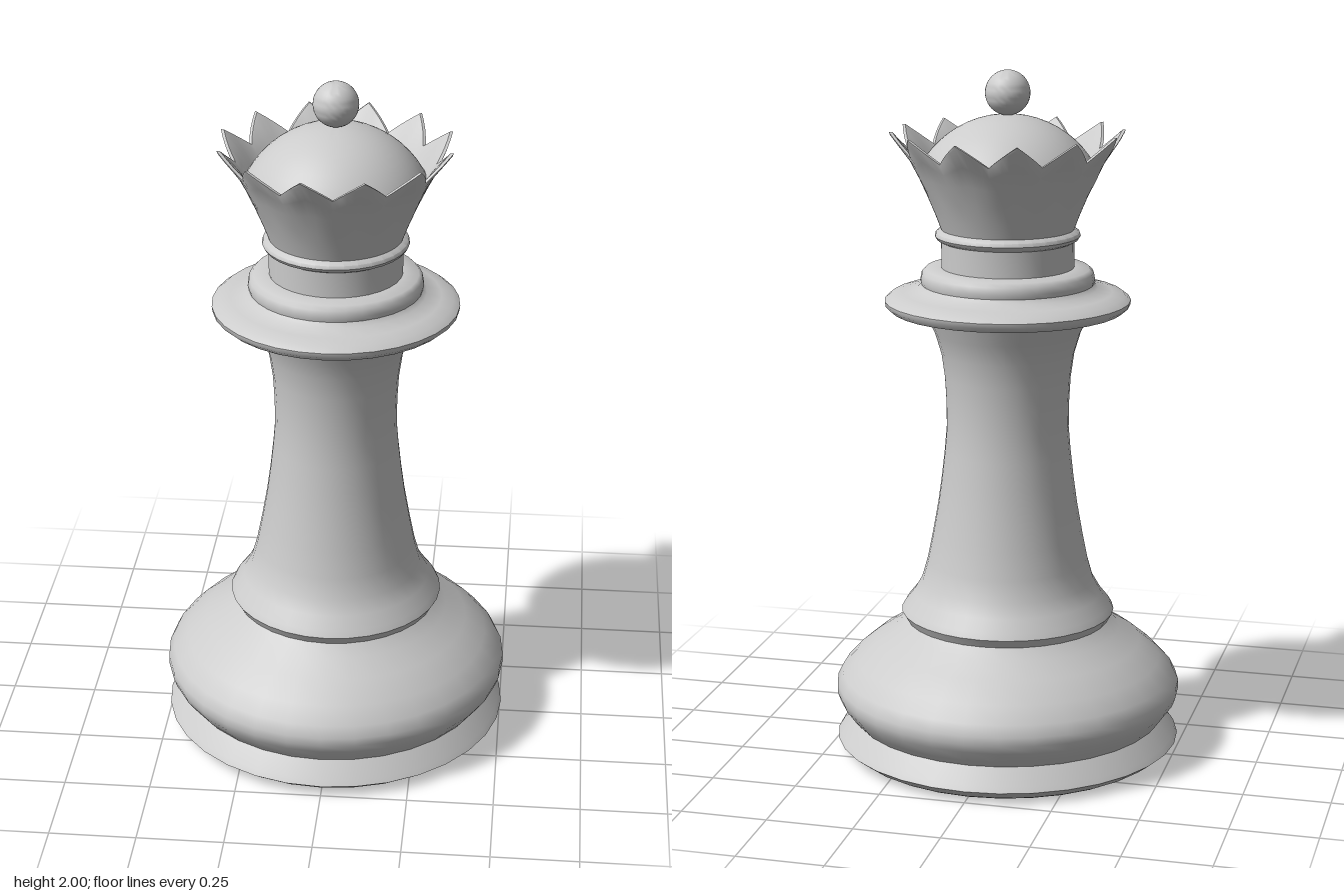
import * as THREE from 'three';
import { toCreasedNormals } from 'three/addons/utils/BufferGeometryUtils.js';

const material = new THREE.MeshStandardMaterial({ color: 0xcccccc });

function addMesh(group, name, geometry, crease = 0.75) {
  const mesh = new THREE.Mesh(toCreasedNormals(geometry, crease), material);
  mesh.name = name;
  group.add(mesh);
  return mesh;
}

// Turned part from [radius, height] pairs, listed bottom to top
function turned(profile, segments = 32, start = 0) {
  const points = profile.map(([r, y]) => new THREE.Vector2(r, y));
  return new THREE.LatheGeometry(points, segments, start);
}

// Flared crown whose rim rises and falls in pointed teeth
function crownGeometry() {
  const teeth = 12, perTooth = 8;
  // radius, height at a tooth tip, then inward and downward shift at a valley
  const profile = [
    [0.19, 1.55, 0, 0], [0.205, 1.59, 0, 0], [0.228, 1.645, 0, 0],
    [0.254, 1.705, 0, 0.01], [0.285, 1.762, 0.015, 0.03],
    [0.332, 1.82, 0.046, 0.06], [0.335, 1.828, 0.048, 0.064],
    [0.326, 1.828, 0.048, 0.064], [0.318, 1.82, 0.044, 0.06],
    [0.275, 1.768, 0.014, 0.028], [0.248, 1.725, 0, 0],
  ];
  const geometry = turned(profile, teeth * perTooth, THREE.MathUtils.degToRad(18.5));
  const pos = geometry.attributes.position;
  for (let i = 0; i < pos.count; i++) {
    const [r, , dr, dy] = profile[i % profile.length];
    const step = Math.floor(i / profile.length) % perTooth;
    const valley = 1 - Math.abs(1 - (2 * step) / perTooth);
    const k = (r - dr * valley) / r;
    pos.setXYZ(i, pos.getX(i) * k, pos.getY(i) - dy * valley, pos.getZ(i) * k);
  }
  return geometry;
}

export function createModel() {
  const group = new THREE.Group();
  group.name = 'chessQueen';

  // Foot and rounded base
  addMesh(group, 'base', turned([
    [0, 0], [0.455, 0], [0.47, 0.008], [0.505, 0.035], [0.495, 0.05], [0.455, 0.095],
    [0.472, 0.115], [0.497, 0.15], [0.506, 0.175], [0.506, 0.2], [0.49, 0.232],
    [0.45, 0.275], [0.39, 0.325], [0.33, 0.363], [0.298, 0.393],
  ]));

  // Ring and tapering stem
  addMesh(group, 'stem', turned([
    [0.298, 0.393], [0.312, 0.418], [0.302, 0.436], [0.275, 0.47], [0.252, 0.51],
    [0.235, 0.57], [0.219, 0.65], [0.203, 0.74], [0.192, 0.82], [0.183, 0.9],
    [0.177, 0.97], [0.178, 1.05], [0.182, 1.12], [0.192, 1.19], [0.21, 1.25],
    [0.235, 1.305], [0.24, 1.32],
  ]));

  // Wide collar with its stepped top
  addMesh(group, 'collar', turned([
    [0.23, 1.31], [0.3, 1.311], [0.335, 1.318], [0.351, 1.332], [0.353, 1.346],
    [0.335, 1.36], [0.3, 1.369], [0.258, 1.38], [0.247, 1.392], [0.25, 1.405],
    [0.246, 1.425], [0.235, 1.436], [0.19, 1.44],
  ]));

  // Neck with a thin bead under the crown
  addMesh(group, 'neck', turned([
    [0.19, 1.435], [0.19, 1.515], [0.202, 1.521], [0.208, 1.531],
    [0.205, 1.541], [0.19, 1.55],
  ]));

  addMesh(group, 'crown', crownGeometry());

  // Shallow dome filling the crown
  const dome = [];
  const radius = 0.285, sweep = Math.asin(0.25 / radius);
  for (let i = 0; i <= 10; i++) {
    const a = sweep * (1 - i / 10);
    dome.push([radius * Math.sin(a), 1.875 - radius + radius * Math.cos(a)]);
  }
  addMesh(group, 'dome', turned(dome, 48));

  const ball = addMesh(group, 'finial', new THREE.SphereGeometry(0.064, 32, 20));
  ball.position.y = 1.936;

  return group;
}
